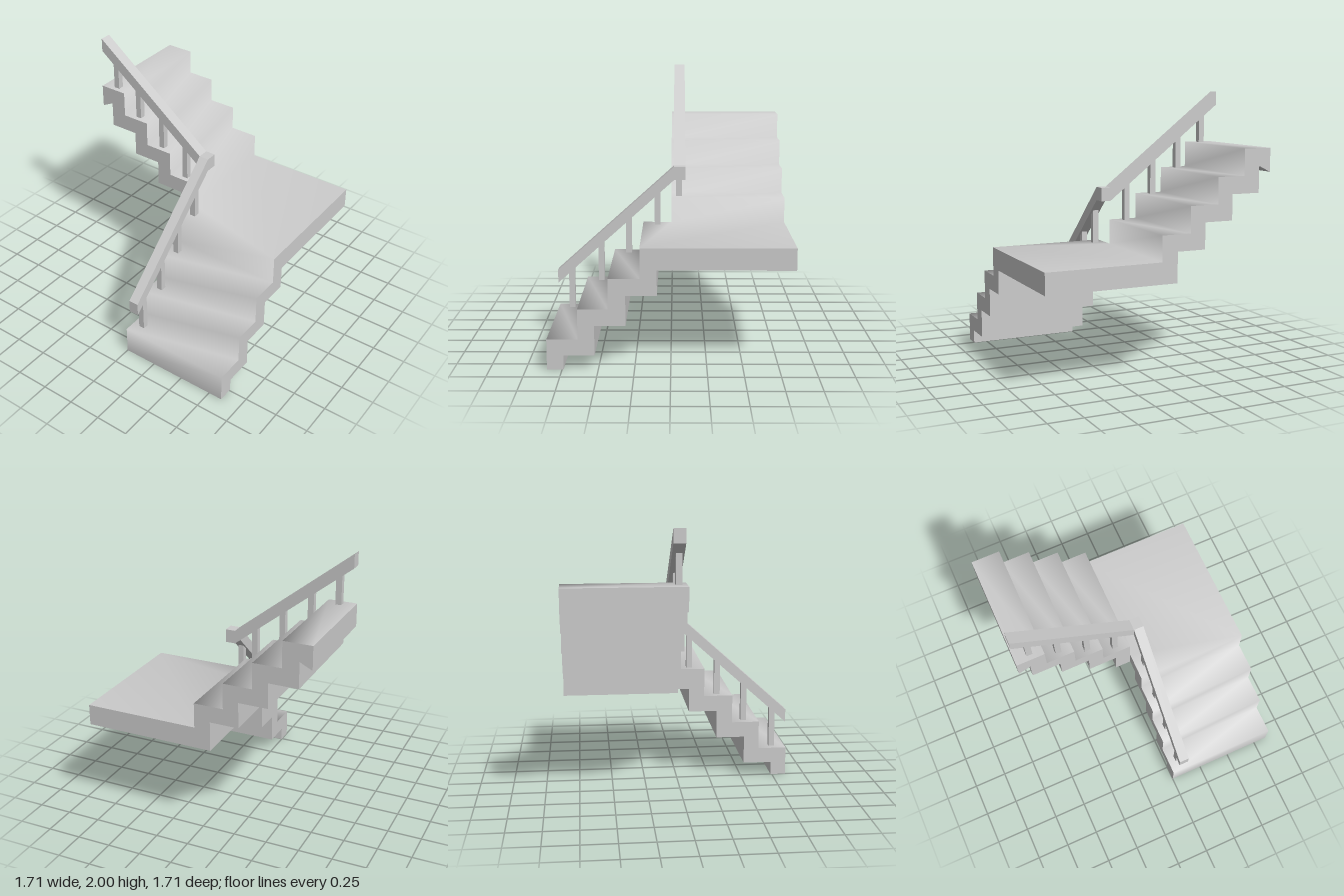
import * as THREE from 'three';

const W = 0.855; // half extent of the plan
const LAND = 0.86, UNDER = 0.705; // landing top and underside
const mat = new THREE.MeshStandardMaterial({ color: 0xcccccc, side: THREE.DoubleSide });

// Flight profiles as [distance along z or x, height], from the bottom up
const lowerTop = [[W, 0], [W, 0.215], [0.64, 0.215], [0.64, 0.43], [0.43, 0.43],
  [0.43, 0.645], [0.212, 0.645], [0.212, LAND]];
const lowerUnder = [[W, 0], [0.74, 0], [0.74, 0.1], [0.525, 0.1], [0.525, 0.312], [0.31, 0.312],
  [0.31, 0.525], [0.095, 0.525], [0.095, UNDER]];
const upperTop = [[0, LAND], [0, 1.045], [-0.22, 1.045], [-0.22, 1.235], [-0.435, 1.235],
  [-0.435, 1.425], [-0.645, 1.425], [-0.645, 1.615], [-W, 1.615]];
const upperUnder = [[0, UNDER], [-0.12, UNDER], [-0.12, 0.925], [-0.335, 0.925], [-0.335, 1.115],
  [-0.55, 1.115], [-0.55, 1.3], [-0.765, 1.3], [-0.765, 1.49], [-W, 1.445], [-W, 1.615]];

// Place a profile point in space: lower flight runs along z, upper along x
const onLower = (u, y, x) => [x, y, u];
const onUpper = (u, y, z) => [u, y, z];

function addMesh(parent, name, geometry) {
  const m = new THREE.Mesh(geometry, mat);
  m.name = name;
  parent.add(m);
  return m;
}

function indexed(points, index, smooth) {
  let g = new THREE.BufferGeometry();
  g.setAttribute('position', new THREE.Float32BufferAttribute(points.flat(), 3));
  g.setIndex(index);
  if (!smooth) g = g.toNonIndexed();
  g.computeVertexNormals();
  return g;
}

// Folded sheets of both flights, joined by the landing
function sheet(lower, upper, smooth) {
  const pts = [], idx = [];
  const strip = (profile, place, left, right) => {
    const start = pts.length;
    profile.forEach(([u, y], i) => {
      pts.push(place(u, y, left), place(u, y, right));
      if (i) {
        const b = start + 2 * i;
        idx.push(b - 2, b - 1, b + 1, b - 2, b + 1, b);
      }
    });
    return start;
  };
  strip(lower, onLower, 0, W);
  const A = pts.length - 2, B = A + 1;
  const E = strip(upper, onUpper, 0, -W), D = E + 1;
  const C = pts.length;
  pts.push([W, upper[0][1], -W]);
  idx.push(A, B, E, E, B, D, B, C, D);
  return indexed(pts, idx, smooth);
}

// Flat side wall between the top and underside of a flight
function wall(top, under, place, at) {
  const outline = [...top, ...[...under].reverse()].map(([u, y]) => new THREE.Vector2(u, y));
  const g = new THREE.ShapeGeometry(new THREE.Shape(outline));
  const p = g.attributes.position;
  for (let i = 0; i < p.count; i++) p.setXYZ(i, ...place(p.getX(i), p.getY(i), at));
  g.computeVertexNormals();
  return g;
}

// Sloping bar with plumb-cut ends
function railBar(u0, y0, u1, y1, width) {
  const s = new THREE.Shape([[u0, y0], [u1, y1], [u1, y1 + 0.1], [u0, y0 + 0.1]]
    .map((q) => new THREE.Vector2(...q)));
  return new THREE.ExtrudeGeometry(s, { depth: width, bevelEnabled: false });
}

export function createModel() {
  const model = new THREE.Group();
  model.name = 'cornerStaircase';

  // Stair body
  const body = new THREE.Group();
  body.name = 'stairBody';
  model.add(body);
  addMesh(body, 'treadsAndLanding', sheet(lowerTop, upperTop, true));
  addMesh(body, 'underside', sheet(lowerUnder, upperUnder, false));
  const edge = (u, y) => [[u, y]];
  addMesh(body, 'lowerInnerSide',
    wall([...lowerTop, ...edge(0, LAND)], [...lowerUnder, ...edge(0, UNDER)], onLower, 0));
  addMesh(body, 'lowerOuterSide',
    wall([...lowerTop, ...edge(-W, LAND)], [...lowerUnder, ...edge(-W, UNDER)], onLower, W));
  addMesh(body, 'upperInnerSide', wall(upperTop, upperUnder, onUpper, 0));
  addMesh(body, 'upperOuterSide',
    wall([...edge(W, LAND), ...upperTop], [...edge(W, UNDER), ...upperUnder], onUpper, -W));

  // Handrails meeting at a corner block
  const railing = new THREE.Group();
  railing.name = 'railing';
  model.add(railing);
  const lowerRail = railBar(W, 0.412, -0.02, 1.2, 0.075);
  lowerRail.rotateY(-Math.PI / 2).translate(0.115, 0, 0);
  addMesh(railing, 'lowerHandrail', lowerRail);
  const upperRail = railBar(-W, 1.9, 0.04, 1.2, 0.085);
  upperRail.translate(0, 0, -0.105);
  addMesh(railing, 'upperHandrail', upperRail);
  addMesh(railing, 'handrailCorner', new THREE.BoxGeometry(0.075, 0.1, 0.085))
    .position.set(0.0775, 1.25, -0.0625);

  // Balusters, one per tread, let into the tread and the rail
  const baluster = (x, z, foot, head) => {
    const y0 = foot - 0.04, y1 = head + 0.04;
    addMesh(railing, 'baluster', new THREE.BoxGeometry(0.044, y1 - y0, 0.044))
      .position.set(x, (y0 + y1) / 2, z);
  };
  [0.752, 0.527, 0.318, 0.102].forEach((z, i) =>
    baluster(0.078, z, 0.215 * (i + 1), 0.412 + (W - z) * 0.9));
  [-0.108, -0.325, -0.54, -0.743].forEach((x, i) =>
    baluster(x, -0.058, 1.045 + 0.19 * i, 1.2 + (0.04 - x) * 0.782));

  return model;
}
